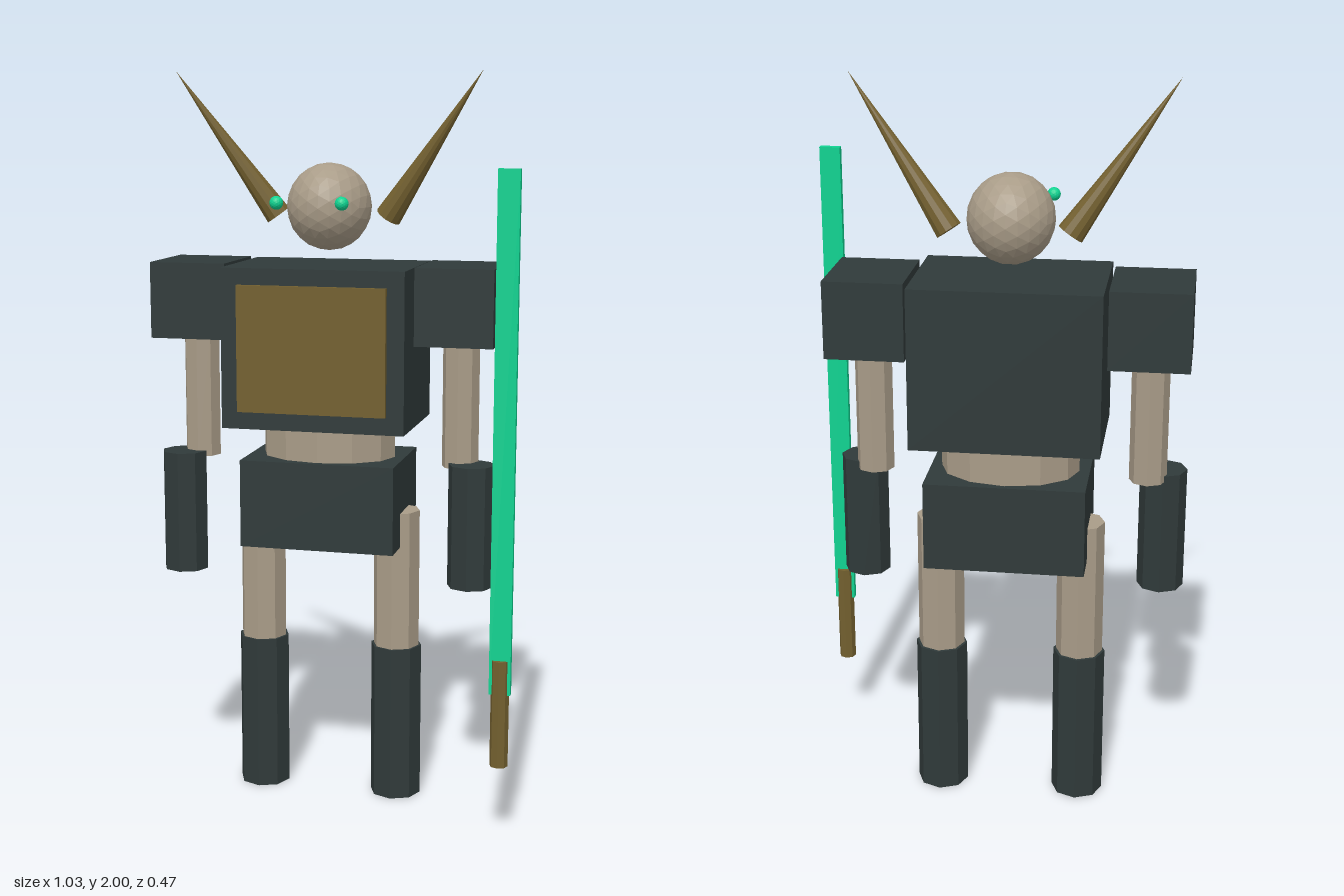
import * as THREE from 'three';

export function createModel() {
  const root = new THREE.Group();
  root.name = 'hornedWarrior';

  const material = (name, color) => {
    const m = new THREE.MeshStandardMaterial({ color, flatShading: true });
    m.name = name;
    return m;
  };
  const armour = material('dark armour', 0x303a3a);
  const skin = material('bone skin', 0xa99c88);
  const bronze = material('bronze', 0x73602f);
  const glow = material('glowing green', 0x0fd391);

  // The body's own centre line; the sword beside it shifts it off the origin
  const body = new THREE.Group();
  body.name = 'body';
  body.position.set(-0.045, 0, -0.078);
  root.add(body);

  const add = (parent, name, geometry, mat, x, y, z) => {
    const mesh = new THREE.Mesh(geometry, mat);
    mesh.name = name;
    mesh.position.set(x, y, z);
    parent.add(mesh);
    return mesh;
  };
  const box = (parent, name, mat, w, y0, y1, d, x, z) =>
    add(parent, name, new THREE.BoxGeometry(w, y1 - y0, d), mat, x, (y0 + y1) / 2, z);
  const post = (parent, name, mat, r, y0, y1, x, z, sides = 8) =>
    add(parent, name, new THREE.CylinderGeometry(r, r, y1 - y0, sides), mat, x, (y0 + y1) / 2, z);

  // Torso
  box(body, 'chest', armour, 0.498, 1.061, 1.491, 0.345, 0, 0.018);
  box(body, 'chestPlate', bronze, 0.404, 1.109, 1.447, 0.04, 0, 0.185);
  post(body, 'waist', skin, 0.185, 0.9, 1.12, 0, 0, 12).scale.z = 0.73;
  box(body, 'pelvis', armour, 0.426, 0.726, 0.966, 0.302, 0, 0);

  // Head
  add(body, 'head', new THREE.IcosahedronGeometry(1, 3), skin, 0, 1.644, 0)
    .scale.set(0.114, 0.117, 0.123);

  // Paired parts: +1 is the model's left
  for (const side of [1, -1]) {
    const s = side > 0 ? 'left' : 'right';
    box(body, s + 'Shoulder', armour, 0.21, 1.289, 1.495, 0.247, side * 0.365, 0);
    post(body, s + 'UpperArm', skin, 0.05, 0.95, 1.3, side * 0.366, 0.002);
    post(body, s + 'Forearm', armour, 0.063, 0.629, 0.966, side * 0.406, 0.048);
    post(body, s + 'Thigh', skin, 0.064, 0.42, 0.82, side * 0.192, 0.002);
    post(body, s + 'Boot', armour, 0.071, 0, 0.435, side * 0.192, 0.001);
    add(body, s + 'Eye', new THREE.IcosahedronGeometry(0.018, 2), glow, side * 0.087, 1.663, 0.21);

    // Horn: a cone aimed from its base to its tip
    const base = new THREE.Vector3(side * 0.154, 1.617, -0.038);
    const tip = new THREE.Vector3(side * 0.418, 2, 0.031);
    const axis = tip.clone().sub(base);
    const mid = base.clone().lerp(tip, 0.5);
    add(body, s + 'Horn', new THREE.ConeGeometry(0.036, axis.length(), 12), bronze, mid.x, mid.y, mid.z)
      .quaternion.setFromUnitVectors(new THREE.Vector3(0, 1, 0), axis.normalize());
  }

  // Sword
  const sword = new THREE.Group();
  sword.name = 'sword';
  sword.position.set(0.485, 0, 0.209);
  root.add(sword);
  box(sword, 'blade', glow, 0.056, 0.413, 1.758, 0.02, 0, 0);
  post(sword, 'hilt', bronze, 0.024, 0.217, 0.505, 0, 0);

  return root;
}
